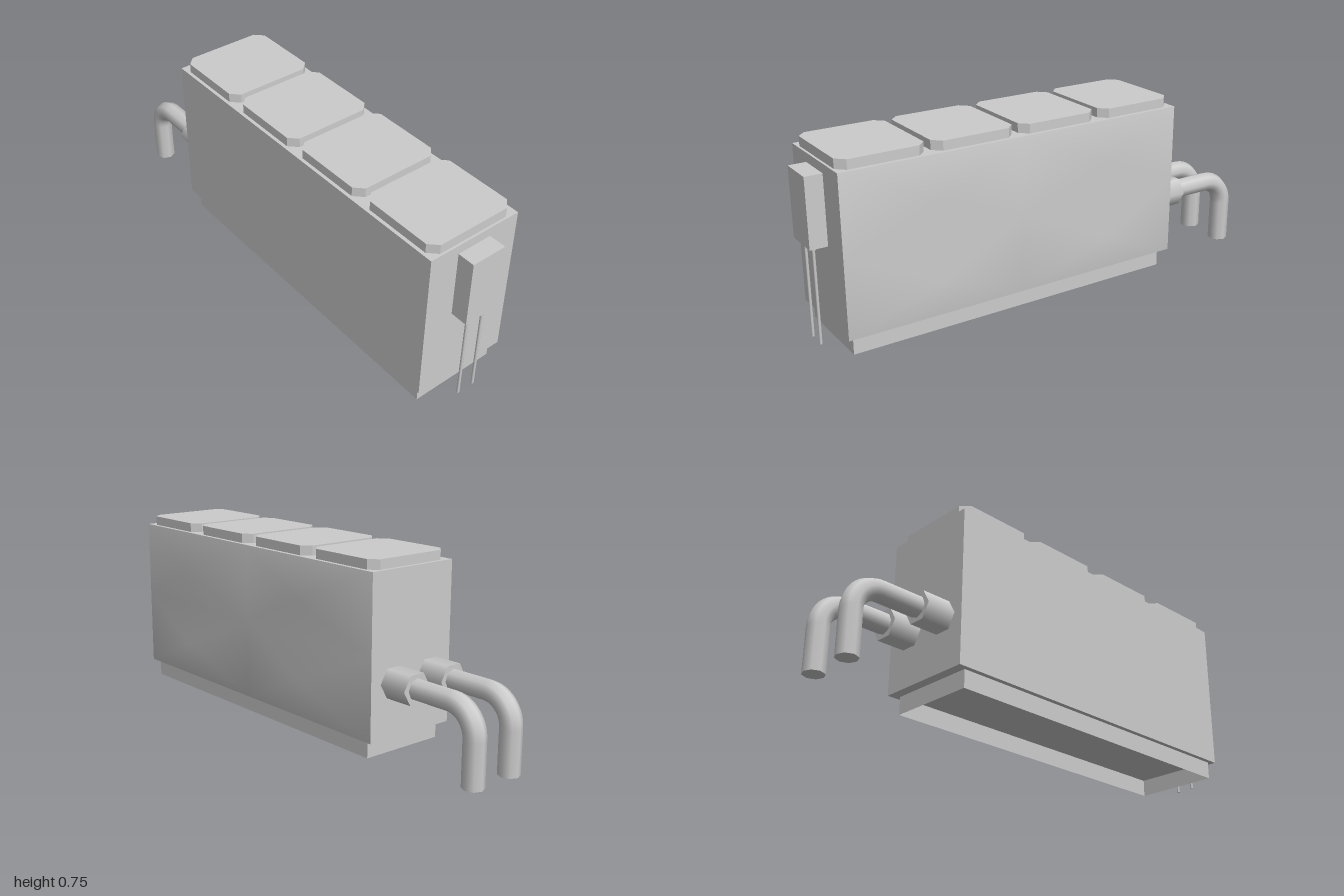
import * as THREE from 'three';

const grey = new THREE.MeshStandardMaterial({ color: 0xcccccc });
const thin = new THREE.MeshStandardMaterial({ color: 0xcccccc, side: THREE.DoubleSide });

export function createModel() {
  const model = new THREE.Group();

  const add = (name, geometry, material = grey) => {
    const mesh = new THREE.Mesh(geometry, material);
    mesh.name = name;
    model.add(mesh);
    return mesh;
  };
  // Box given by its minimum and maximum corners
  const boxBetween = (name, a, b) =>
    add(name, new THREE.BoxGeometry(b[0] - a[0], b[1] - a[1], b[2] - a[2]))
      .position.set((a[0] + b[0]) / 2, (a[1] + b[1]) / 2, (a[2] + b[2]) / 2);

  // Main housing
  boxBetween('housing', [-0.225, 0.072, -0.56], [0.18, 0.71, 0.93]);

  // Side panel: two by two shallow pyramids
  const panel = [], index = [];
  const y0 = 0.072, y1 = 0.71, z0 = -0.56, z1 = 0.93;
  const point = (x, u, v) => panel.push(x, y0 + (y1 - y0) * v, z1 + (z0 - z1) * u);
  for (let j = 0; j < 3; j++) for (let i = 0; i < 3; i++) point(0.18, i / 2, j / 2);
  for (let j = 0; j < 2; j++) {
    for (let i = 0; i < 2; i++) {
      const peak = panel.length / 3;
      point(0.225, (i + 0.5) / 2, (j + 0.5) / 2);
      const a = j * 3 + i, ring = [a, a + 1, a + 4, a + 3];
      ring.forEach((c, k) => index.push(c, ring[(k + 1) % 4], peak));
    }
  }
  const panelGeo = new THREE.BufferGeometry();
  panelGeo.setAttribute('position', new THREE.Float32BufferAttribute(panel, 3));
  panelGeo.setIndex(index);
  panelGeo.computeVertexNormals();
  add('sidePanel', panelGeo, thin);

  // Hollow base skirt, open below
  const wall = (w, x, z, turn) => {
    const m = add('baseWall', new THREE.PlaneGeometry(w, 0.072), thin);
    m.position.set(x, 0.036, z);
    m.rotation.y = turn;
  };
  const bx0 = -0.205, bx1 = 0.157, bz0 = -0.52, bz1 = 0.905;
  const bx = (bx0 + bx1) / 2, bz = (bz0 + bz1) / 2;
  wall(bx1 - bx0, bx, bz1, 0);
  wall(bx1 - bx0, bx, bz0, Math.PI);
  wall(bz1 - bz0, bx1, bz, Math.PI / 2);
  wall(bz1 - bz0, bx0, bz, -Math.PI / 2);

  // Four top caps with chamfered corners
  const w = 0.1875, d = 0.173, c = 0.034;
  const outline = new THREE.Shape([
    [w, c - d], [w, d - c], [w - c, d], [c - w, d],
    [-w, d - c], [-w, c - d], [c - w, -d], [w - c, -d],
  ].map(([x, y]) => new THREE.Vector2(x, y)));
  const capGeo = new THREE.ExtrudeGeometry(outline, { depth: 0.038, bevelEnabled: false });
  capGeo.rotateX(-Math.PI / 2);
  for (let i = 0; i < 4; i++) {
    add('topCap', capGeo).position.set(-0.0235, 0.71, -0.373 + i * 0.3735);
  }

  // Front block with two thin pins and their collars
  boxBetween('frontBlock', [-0.098, 0.396, 0.93], [0.05, 0.673, 1]);
  for (const x of [-0.061, 0.013]) {
    add('pin', new THREE.CylinderGeometry(0.006, 0.006, 0.385, 8)).position.set(x, 0.1925, 0.972);
    add('pinCollar', new THREE.CylinderGeometry(0.01, 0.01, 0.016, 8)).position.set(x, 0.388, 0.972);
  }

  // Rear pipes: straight run, quarter bend, drop to the ground
  const pipeY = 0.288, endZ = -0.958, bend = 0.11, k = bend * 0.4477;
  const v = (y, z) => new THREE.Vector3(0, y, z);
  const path = new THREE.CurvePath();
  path.add(new THREE.LineCurve3(v(pipeY, -0.56), v(pipeY, endZ + bend)));
  path.add(new THREE.CubicBezierCurve3(
    v(pipeY, endZ + bend), v(pipeY, endZ + k), v(pipeY - k, endZ), v(pipeY - bend, endZ)));
  path.add(new THREE.LineCurve3(v(pipeY - bend, endZ), v(0, endZ)));
  const pipeGeo = new THREE.TubeGeometry(path, 40, 0.042, 8);
  const endGeo = new THREE.CircleGeometry(0.042, 8).rotateX(Math.PI / 2);
  const nutGeo = new THREE.CylinderGeometry(0.065, 0.065, 0.12, 6)
    .rotateY(Math.PI / 2).rotateX(Math.PI / 2);
  for (const x of [-0.122, 0.068]) {
    add('pipe', pipeGeo).position.x = x;
    add('pipeEnd', endGeo).position.set(x, 0, endZ);
    add('pipeCollar', nutGeo).position.set(x, pipeY, -0.62);
  }

  return model;
}
